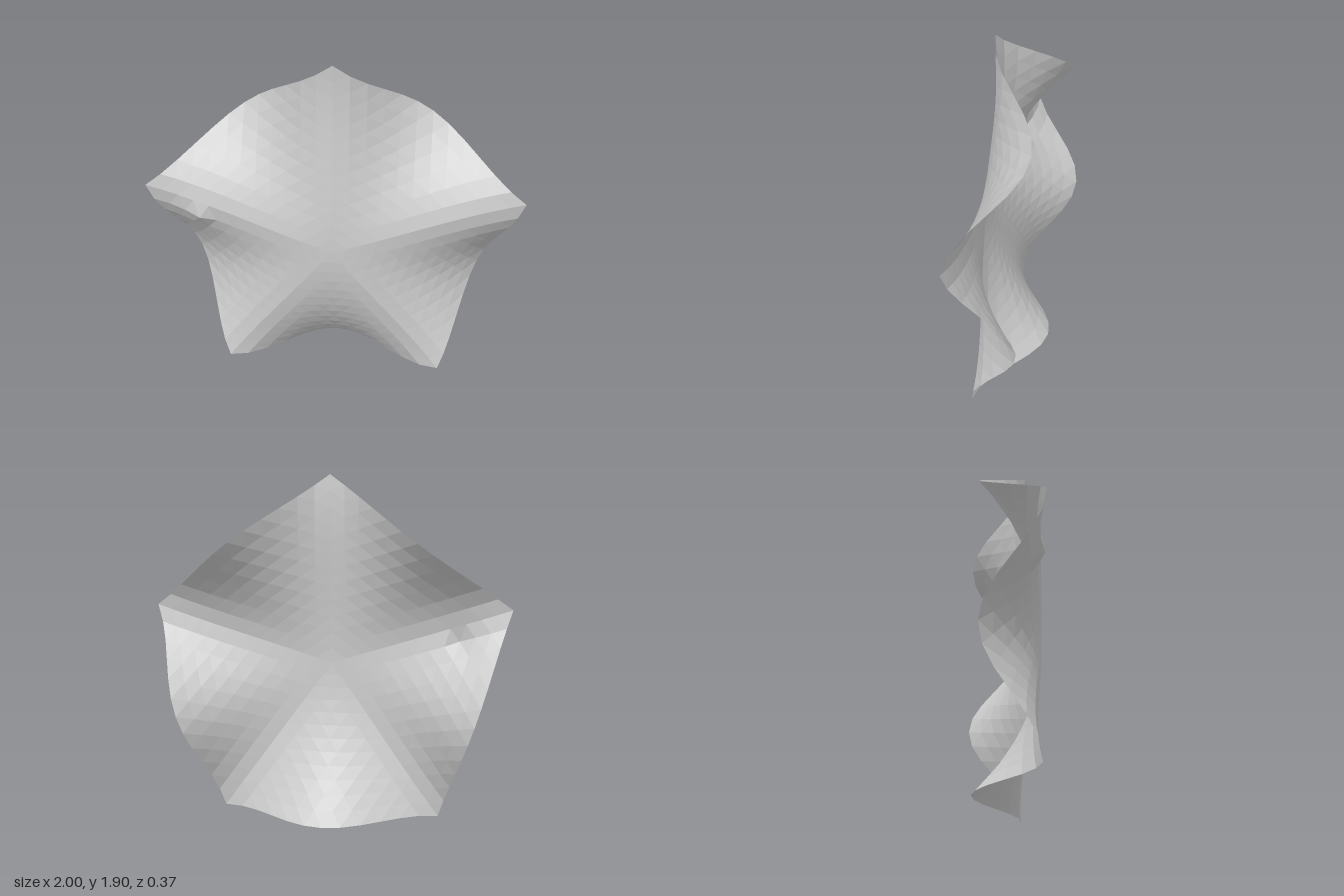
import * as THREE from 'three';

const SIDES = 5, RINGS = 12, RADIUS = 1.051, CENTRE_Y = 0.85;

// Pentagon corner k, starting at the top and running anticlockwise
function corner(k) {
  const a = Math.PI / 2 + (k * 2 * Math.PI) / SIDES;
  return new THREE.Vector2(Math.cos(a) * RADIUS, Math.sin(a) * RADIUS);
}

// Depth of the sheet: domed centre, corners forward, edge middles swept back.
// s runs from centre (0) to rim (1), t from one corner to the next.
function depth(s, t) {
  return 0.185 - 0.215 * s ** 1.8 + 0.15 * s ** 3.2 * Math.cos(2 * Math.PI * t);
}

// Small crumple beside the left-hand corner
function crumple(x, y, s) {
  const d2 = (x + 0.74) ** 2 + (y - 0.99) ** 2;
  return s < 0.999 ? 0.04 * Math.exp(-d2 / 0.004) : 0;
}

function sheetGeometry() {
  const positions = [], index = [];
  for (let k = 0; k < SIDES; k++) {
    const a = corner(k), b = corner(k + 1);
    const base = positions.length / 3;
    // Triangular grid of one sector: ring i holds i + 1 points
    for (let i = 0; i <= RINGS; i++) {
      for (let j = 0; j <= i; j++) {
        const s = i / RINGS, t = i ? j / i : 0;
        const p = a.clone().lerp(b, t).multiplyScalar(s);
        const y = Math.max(0, p.y + CENTRE_Y);
        positions.push(p.x, y, depth(s, t) + crumple(p.x, y, s));
      }
    }
    const at = (i, j) => base + (i * (i + 1)) / 2 + j;
    for (let i = 0; i < RINGS; i++) {
      for (let j = 0; j <= i; j++) {
        index.push(at(i, j), at(i + 1, j), at(i + 1, j + 1));
        if (j < i) index.push(at(i, j), at(i + 1, j + 1), at(i, j + 1));
      }
    }
  }
  const geometry = new THREE.BufferGeometry();
  geometry.setAttribute('position', new THREE.Float32BufferAttribute(positions, 3));
  geometry.setIndex(index);
  geometry.computeVertexNormals();
  return geometry;
}

export function createModel() {
  const group = new THREE.Group();
  group.name = 'wavyPentagon';
  const material = new THREE.MeshStandardMaterial({
    color: 0xcccccc, flatShading: true, side: THREE.DoubleSide,
  });
  const sheet = new THREE.Mesh(sheetGeometry(), material);
  sheet.name = 'curvedSheet';
  group.add(sheet);
  return group;
}
